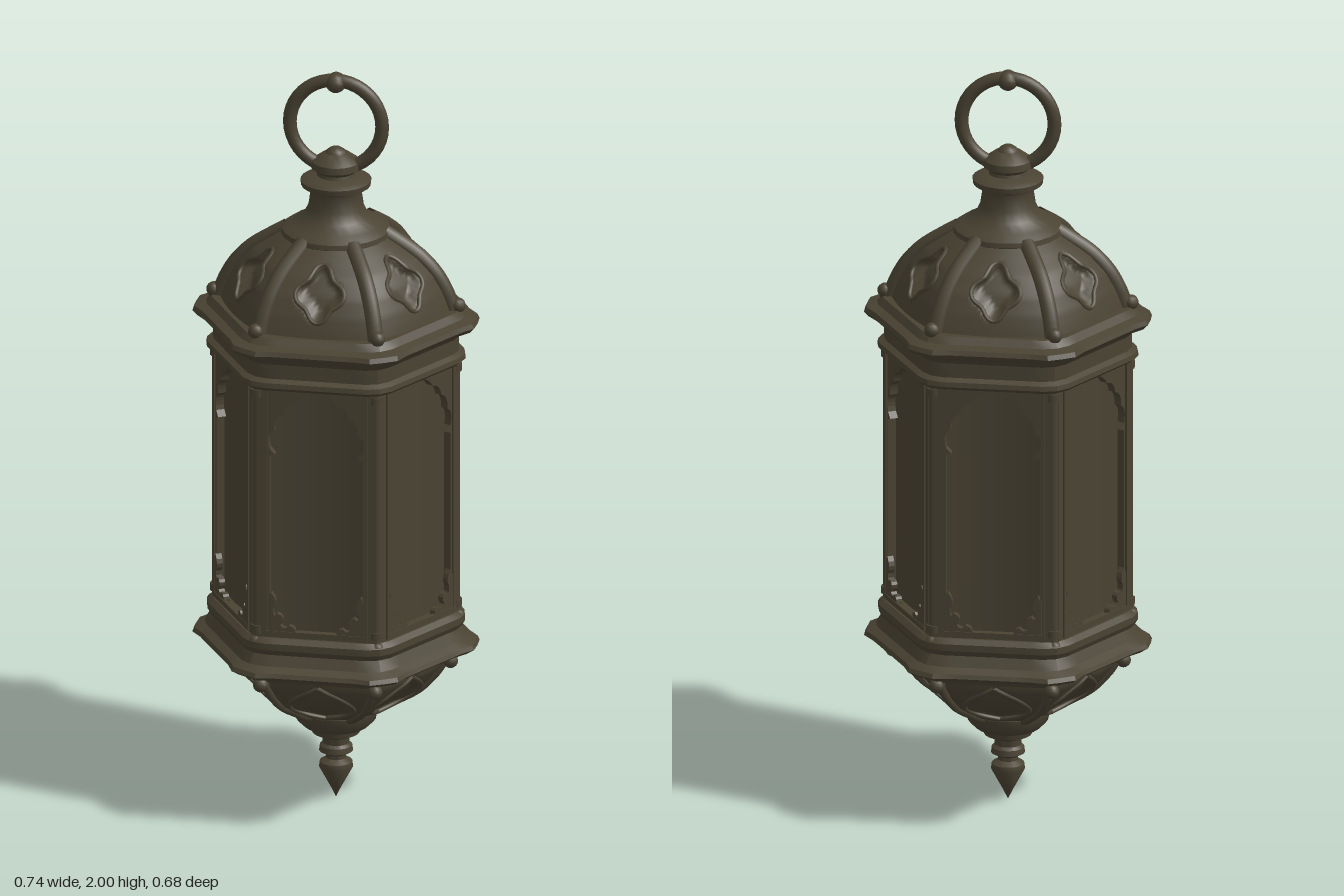
import * as THREE from 'three';
import { toCreasedNormals } from 'three/addons/utils/BufferGeometryUtils.js';

const SIDES = 6;
const APOTHEM = Math.cos(Math.PI / SIDES);
const V = (x, y, z) => new THREE.Vector3(x, y, z);

// Corner radius of the domed roof and of the lower bowl, as [radius, height].
const ROOF = [[0.31, 1.36], [0.3, 1.39], [0.288, 1.42], [0.262, 1.465], [0.22, 1.51], [0.165, 1.547], [0.13, 1.568]];
const BOWL = [[0.08, 0.24], [0.12, 0.255], [0.165, 0.28], [0.215, 0.31], [0.25, 0.345], [0.278, 0.385], [0.288, 0.43]];

function radiusAt(profile, y) {
  for (let i = 1; i < profile.length; i++) {
    const [r0, y0] = profile[i - 1], [r1, y1] = profile[i];
    if (y <= y1) return r0 + (r1 - r0) * (y - y0) / (y1 - y0);
  }
  return profile[profile.length - 1][0];
}

// Distance of a gently rounded shell face from the axis.
function faceDepth(profile, x, y, bulge) {
  const r = radiusAt(profile, y), u = 2 * x / r;
  return r * APOTHEM + bulge * (1 - u * u);
}

// One face of a six-sided shell, rounded by bulge and carved by a relief rule.
function reliefFace(profile, bulge, relief = () => 0) {
  const geo = new THREE.PlaneGeometry(2, 1, 30, 24);
  const p = geo.attributes.position;
  const y0 = profile[0][1], y1 = profile[profile.length - 1][1];
  for (let i = 0; i < p.count; i++) {
    const y = y0 + (y1 - y0) * (p.getY(i) + 0.5);
    const x = p.getX(i) * radiusAt(profile, y) / 2;
    p.setXYZ(i, x, y, faceDepth(profile, x, y, bulge) + relief(x, y));
  }
  geo.computeVertexNormals();
  return geo;
}

function lathe(profile, segments) {
  const pts = profile.map(([r, y]) => new THREE.Vector2(r, y));
  return toCreasedNormals(new THREE.LatheGeometry(pts, segments, Math.PI / 2), 0.7);
}

// Six-sided moulding with blunted corners; the profile gives its apothem.
// The outermost lip swells a little beside the corners.
function hexMoulding(profile) {
  const geo = new THREE.LatheGeometry(profile.map(([r, y]) => new THREE.Vector2(r, y)), 60);
  const p = geo.attributes.position;
  for (let i = 0; i < p.count; i++) {
    const x = p.getX(i), z = p.getZ(i);
    const step = Math.PI / 3, a = Math.atan2(x, z);
    const local = Math.abs(a - Math.round(a / step) * step);
    const swell = Math.hypot(x, z) > 0.31 && local > 0.36 ? 1.02 : 1;
    const k = Math.min(swell / Math.cos(local), 1.115);
    p.setX(i, x * k);
    p.setZ(i, z * k);
  }
  return toCreasedNormals(geo, 0.35);
}

function tube(points, radius, closed = false, segments = 24) {
  return new THREE.TubeGeometry(new THREE.CatmullRomCurve3(points, closed), segments, radius, 7, closed);
}

// Window frame with a cusped pointed arch cut through it.
function frameGeometry() {
  const shape = new THREE.Shape();
  const w = 0.154;
  shape.moveTo(-w, 0.52).lineTo(w, 0.52).lineTo(w, 1.25).lineTo(-w, 1.25).closePath();
  const cusps = [[0.122, 1.06], [0.11, 1.11], [0.086, 1.155], [0.052, 1.19], [0, 1.222]];
  const hole = new THREE.Path();
  hole.moveTo(-0.122, 0.555).lineTo(0.122, 0.555).lineTo(0.122, 1.04).lineTo(0.108, 1.045).lineTo(...cusps[0]);
  const arc = (a, b) => hole.quadraticCurveTo((a[0] + b[0]) / 2 * 1.14, (a[1] + b[1]) / 2 + 0.016, b[0], b[1]);
  for (let i = 1; i < cusps.length; i++) arc(cusps[i - 1], cusps[i]);
  const mirrored = cusps.map(([x, y]) => [-x, y]).reverse();
  for (let i = 1; i < mirrored.length; i++) arc(mirrored[i - 1], mirrored[i]);
  hole.lineTo(-0.108, 1.045).lineTo(-0.122, 1.04).closePath();
  shape.holes.push(hole);
  return new THREE.ExtrudeGeometry(shape, { depth: 0.022, bevelEnabled: false, curveSegments: 6 });
}

// Curled leaf for the lower corners of a window.
function leafGeometry() {
  const s = new THREE.Shape();
  s.moveTo(0, 0).lineTo(0.07, 0);
  s.quadraticCurveTo(0.078, 0.022, 0.056, 0.026);
  s.quadraticCurveTo(0.044, 0.01, 0.033, 0.026);
  s.quadraticCurveTo(0.05, 0.05, 0.025, 0.058);
  s.quadraticCurveTo(0.014, 0.04, 0.014, 0.07);
  s.quadraticCurveTo(0.03, 0.09, 0.009, 0.115);
  s.lineTo(0, 0.1).closePath();
  return new THREE.ExtrudeGeometry(s, { depth: 0.016, bevelEnabled: false, curveSegments: 4 });
}

export function createModel() {
  const model = new THREE.Group();
  model.name = 'lantern';
  const bronze = new THREE.MeshStandardMaterial({ color: 0x4a4333, side: THREE.DoubleSide });
  bronze.name = 'aged bronze';
  const add = (parent, name, geo, x = 0, y = 0, z = 0) => {
    const mesh = new THREE.Mesh(geo, bronze);
    mesh.name = name;
    mesh.position.set(x, y, z);
    parent.add(mesh);
    return mesh;
  };

  // Six-sided mouldings below and above the windows
  add(model, 'baseMoulding', hexMoulding([[0.23, 0.405], [0.262, 0.405], [0.275, 0.425], [0.315, 0.432], [0.333, 0.445],
    [0.328, 0.456], [0.308, 0.468], [0.295, 0.495], [0.303, 0.51], [0.303, 0.528], [0.29, 0.54], [0.23, 0.54]]));
  add(model, 'cornice', hexMoulding([[0.23, 1.225], [0.294, 1.225], [0.305, 1.235], [0.303, 1.248], [0.289, 1.256], [0.289, 1.295],
    [0.3, 1.31], [0.322, 1.32], [0.333, 1.333], [0.328, 1.345], [0.305, 1.352], [0.292, 1.37], [0.23, 1.372]]));

  // Round neck and finial
  add(model, 'neck', lathe([[0.12, 1.545], [0.142, 1.562], [0.14, 1.575], [0.118, 1.59], [0.085, 1.608], [0.072, 1.635], [0.066, 1.675],
    [0.07, 1.685], [0.09, 1.693], [0.092, 1.707], [0.078, 1.715], [0.05, 1.72], [0.048, 1.728], [0.064, 1.74],
    [0.062, 1.758], [0.035, 1.778], [0, 1.79]], 24));
  add(model, 'finial', lathe([[0, 0], [0.012, 0.025], [0.044, 0.085], [0.042, 0.1], [0.026, 0.11], [0.026, 0.12], [0.044, 0.13],
    [0.042, 0.145], [0.034, 0.152], [0.036, 0.17], [0.062, 0.182], [0.066, 0.198], [0.085, 0.203], [0.104, 0.222],
    [0.11, 0.25], [0.1, 0.268]], 24));

  // Hanging ring with a small knot at its top
  add(model, 'hangingRing', new THREE.TorusGeometry(0.121, 0.018, 10, 40), 0, 1.858, 0);
  add(model, 'ringKnot', new THREE.SphereGeometry(0.027, 12, 8), 0, 1.973, 0).scale.z = 1.2;
  add(model, 'ringSocket', new THREE.SphereGeometry(0.032, 12, 8), 0, 1.765, 0);

  // Reliefs: four-lobed hollow on the roof, pointed leaf hollow on the bowl
  const ROOF_BULGE = 0.016, BOWL_BULGE = 0.014, LOBE_Y = 1.472;
  const lobeRadius = a => 0.053 * (1 + 0.16 * Math.cos(4 * a));
  const leafHalf = t => 0.085 * Math.sin(Math.PI * Math.pow(t, 0.8));
  const roofFace = reliefFace(ROOF, ROOF_BULGE, (x, y) => {
    const dy = y - LOBE_Y, d = Math.hypot(x, dy) / lobeRadius(Math.atan2(dy, x));
    return -0.026 * (1 - THREE.MathUtils.smoothstep(d, 0.7, 1));
  });
  const bowlFace = reliefFace(BOWL, BOWL_BULGE, (x, y) => {
    const half = leafHalf(THREE.MathUtils.clamp((y - 0.27) / 0.125, 0, 1));
    return half > 0.005 ? -0.016 * (1 - THREE.MathUtils.smoothstep(Math.abs(x) / half, 0.6, 1)) : 0;
  });
  const paneFace = reliefFace([[0.306, 0.53], [0.306, 1.24]], -0.02);
  const frame = frameGeometry(), leaf = leafGeometry();

  const lobeRim = [], leafRim = [];
  for (let i = 0; i < 24; i++) {
    const a = i / 24 * Math.PI * 2, r = lobeRadius(a) * 1.04;
    const x = Math.cos(a) * r, y = LOBE_Y + Math.sin(a) * r;
    lobeRim.push(V(x, y, faceDepth(ROOF, x, y, ROOF_BULGE)));
  }
  for (let i = 0; i <= 10; i++) {
    const x = leafHalf(i / 10), y = 0.27 + 0.0125 * i;
    leafRim.push(V(x, y, faceDepth(BOWL, x, y, BOWL_BULGE)));
  }
  const lobeTube = tube(lobeRim, 0.006, true, 48), leafTube = tube(leafRim, 0.006);

  // Corner ribs follow the roof and bowl edges
  const roofRib = tube(ROOF.map(([r, y]) => V(r - 0.002, y, 0)), 0.021);
  const bowlRib = tube(BOWL.map(([r, y]) => V(r, y, 0)), 0.011);
  const bead = new THREE.SphereGeometry(0.02, 10, 8);

  for (let i = 0; i < SIDES; i++) {
    // Face with roof panel, window and bowl panel
    const side = new THREE.Group();
    side.name = 'side' + (i + 1);
    side.rotation.y = i * Math.PI / 3;
    model.add(side);
    add(side, 'roofPanel', roofFace);
    add(side, 'roofLobeRim', lobeTube);
    add(side, 'bowlPanel', bowlFace);
    add(side, 'windowPane', paneFace);
    add(side, 'windowFrame', frame, 0, 0, 0.262);
    add(side, 'baseRail', new THREE.BoxGeometry(0.27, 0.014, 0.012), 0, 0.552, 0.284);
    for (const s of [-1, 1]) {
      add(side, 'leafRim', leafTube).scale.x = s;
      add(side, 'cornerLeaf', leaf, -s * 0.126, 0.55, 0.272).scale.x = s;
      add(side, 'frameBead', new THREE.BoxGeometry(0.008, 0.68, 0.01), s * 0.131, 0.89, 0.284);
    }

    // Corner with column, ribs and beads
    const corner = new THREE.Group();
    corner.name = 'corner' + (i + 1);
    corner.rotation.y = i * Math.PI / 3;
    model.add(corner);
    add(corner, 'column', new THREE.CylinderGeometry(0.015, 0.015, 0.72, 10), 0.31, 0.89, 0);
    for (const y of [0.56, 1.21]) add(corner, 'columnBand', new THREE.CylinderGeometry(0.02, 0.02, 0.02, 10), 0.31, y, 0);
    add(corner, 'roofRib', roofRib);
    add(corner, 'bowlRib', bowlRib);
    add(corner, 'roofBead', bead, 0.32, 1.38, 0);
    add(corner, 'bowlBead', bead, 0.3, 0.397, 0);
    add(corner, 'plinthBead', bead, 0.318, 0.522, 0);
  }
  return model;
}
